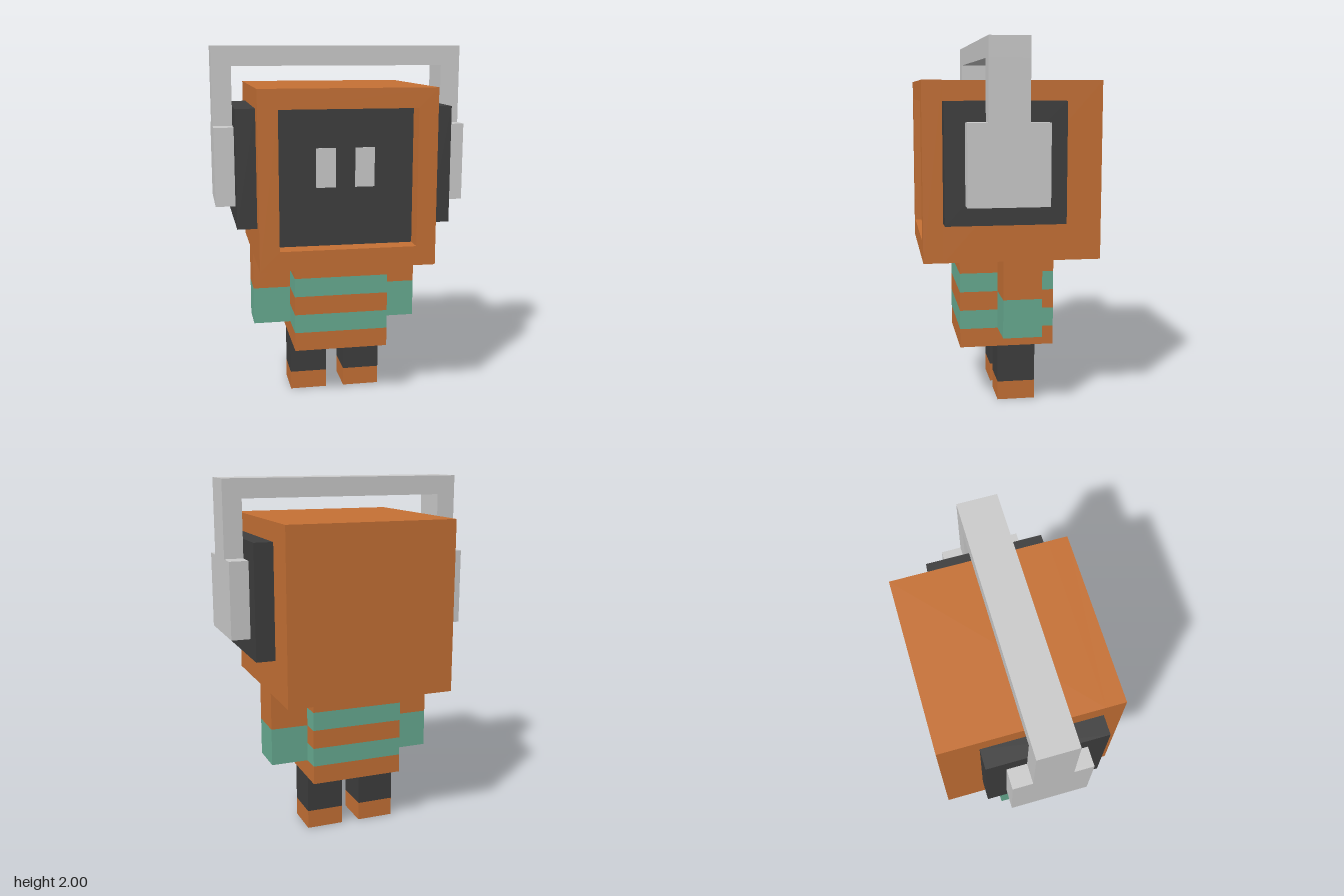
import * as THREE from 'three';

const U = 2 / 19; // one block unit: the figure is 19 blocks tall

const paint = (color) => new THREE.MeshStandardMaterial({ color, flatShading: true });

export function createModel() {
  const model = new THREE.Group();
  const orange = paint(0xc67135);
  const green = paint(0x68ac92);
  const dark = paint(0x3e3e3e);
  const silver = paint(0xcccccc);

  const group = (name) => {
    const g = new THREE.Group();
    g.name = name;
    model.add(g);
    return g;
  };

  // Box given by its min and max along each axis, in block units
  const block = (parent, name, material, [x0, x1], [y0, y1], [z0, z1]) => {
    const geometry = new THREE.BoxGeometry((x1 - x0) * U, (y1 - y0) * U, (z1 - z0) * U);
    const mesh = new THREE.Mesh(geometry, material);
    mesh.name = name;
    mesh.position.set((x0 + x1) / 2 * U, (y0 + y1) / 2 * U, (z0 + z1) / 2 * U);
    parent.add(mesh);
    return mesh;
  };

  // Same box on either side: side = 1 is left (+x), -1 is right
  const span = (side, a, b) => (side > 0 ? [a, b] : [-b, -a]);
  const sides = [[1, 'left'], [-1, 'right']];

  // Head with a square rim around the recessed face
  const head = group('head');
  block(head, 'headShell', orange, [-4.5, 4.5], [8, 17], [-4.5, 3.5]);
  const square = (Kind, r) => new Kind([[-r, -r], [r, -r], [r, r], [-r, r]]
    .map(([x, y]) => new THREE.Vector2(x * U, (y + 12.5) * U)));
  const rimShape = square(THREE.Shape, 4.5);
  rimShape.holes.push(square(THREE.Path, 3.5));
  const rim = new THREE.Mesh(
    new THREE.ExtrudeGeometry(rimShape, { depth: U, bevelEnabled: false }), orange);
  rim.name = 'faceRim';
  rim.position.z = 3.5 * U;
  head.add(rim);
  block(head, 'facePanel', dark, [-3.5, 3.5], [9, 16], [3.4, 3.52]);
  for (const [s, side] of sides) {
    block(head, side + 'Eye', silver, span(s, 0.5, 1.5), [12, 14], [3.45, 3.55]);
  }

  // Headphones: cushions, cups, posts and the band over the head
  const headphones = group('headphones');
  for (const [s, side] of sides) {
    block(headphones, side + 'EarCushion', dark, span(s, 4.5, 5.5), [10, 16], [-2.5, 3.5]);
    block(headphones, side + 'EarCup', silver, span(s, 5.5, 6.5), [11, 15], [-1.5, 2.5]);
    block(headphones, side + 'BandPost', silver, span(s, 5.5, 6.5), [15, 18], [-0.5, 1.5]);
  }
  block(headphones, 'headband', silver, [-6.5, 6.5], [18, 19], [-0.5, 1.5]);

  // Striped body, one layer per block of height
  const body = group('body');
  for (let y = 3; y < 8; y++) {
    const striped = y % 2 === 0;
    block(body, striped ? 'shirtStripe' : 'shirtBand', striped ? green : orange,
      [-2.5, 2.5], [y, y + 1], [-2.5, 2.5]);
  }

  // Arms with green cuffs, legs with orange feet
  for (const [s, side] of sides) {
    const arm = group(side + 'Arm');
    block(arm, 'sleeve', orange, span(s, 2.5, 4.5), [6, 8], [-1.5, 0.5]);
    block(arm, 'cuff', green, span(s, 2.5, 4.5), [4, 6], [-1.5, 0.5]);
    const leg = group(side + 'Leg');
    block(leg, 'trouser', dark, span(s, 0.5, 2.5), [1, 3], [-1.5, 0.5]);
    block(leg, 'foot', orange, span(s, 0.5, 2.5), [0, 1], [-1.5, 0.5]);
  }

  return model;
}
